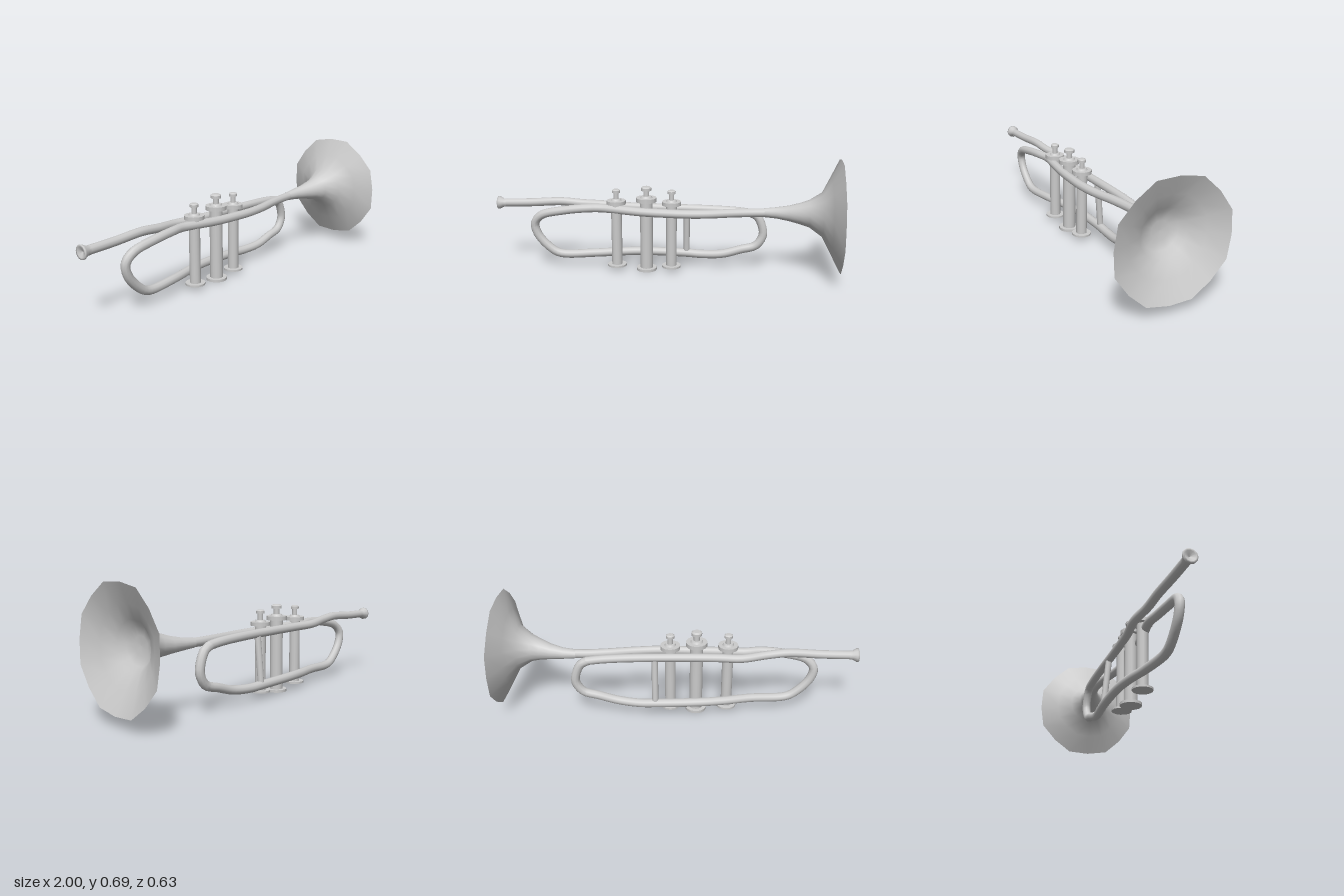
import * as THREE from 'three';

const metal = new THREE.MeshStandardMaterial({ color: 0xcccccc });
const thinMetal = new THREE.MeshStandardMaterial({ color: 0xcccccc, side: THREE.DoubleSide });

function add(parent, name, geometry, material = metal) {
  const mesh = new THREE.Mesh(geometry, material);
  mesh.name = name;
  parent.add(mesh);
  return mesh;
}

function pipe(points, segments, radius) {
  const curve = new THREE.CatmullRomCurve3(points.map(p => new THREE.Vector3(...p)), false, 'centripetal');
  return new THREE.TubeGeometry(curve, segments, radius, 10, false);
}

// One valve: stacked cylinders given as [part, bottom, top, radius, top radius]
function valve(name, x, layers) {
  const group = new THREE.Group();
  group.name = name;
  group.position.set(x, 0, -0.072);
  for (const [part, y0, y1, r0, r1 = r0] of layers) {
    add(group, part, new THREE.CylinderGeometry(r1, r0, y1 - y0, 14)).position.y = (y0 + y1) / 2;
  }
  return group;
}

// Bell surface: rings of 16 points [x, y, z, radius], leaning further towards the rim
function bellGeometry(rings) {
  const sides = 16, positions = [], index = [];
  rings.forEach(([x, y, z, r], i) => {
    const lean = (x - 0.56) / 0.418;
    for (let k = 0; k < sides; k++) {
      const a = THREE.MathUtils.degToRad(3.5 + 22.5 * k);
      const rr = r * (k % 2 ? 1.02 : 0.985);
      const dy = rr * Math.cos(a), dz = -rr * Math.sin(a);
      positions.push(x - lean * (0.03 * dy + 0.07 * dz), y + dy, z + dz);
      if (i > 0) {
        const n = (k + 1) % sides;
        const p = (i - 1) * sides, q = i * sides;
        index.push(p + k, q + k, p + n, p + n, q + k, q + n);
      }
    }
  });
  const geometry = new THREE.BufferGeometry();
  geometry.setAttribute('position', new THREE.Float32BufferAttribute(positions, 3));
  geometry.setIndex(index);
  geometry.computeVertexNormals();
  return geometry;
}

export function createModel() {
  const model = new THREE.Group();
  model.name = 'trumpet';

  // Lead pipe from the mouthpiece to the right-hand bend
  add(model, 'leadPipe', pipe([
    [-0.98, 0.378, -0.12], [-0.8, 0.383, -0.12], [-0.62, 0.393, -0.12], [-0.5, 0.383, -0.125],
    [-0.36, 0.372, -0.145], [-0.22, 0.368, -0.13], [0, 0.366, -0.122], [0.25, 0.363, -0.12],
    [0.42, 0.355, -0.12], [0.5, 0.345, -0.12],
  ], 50, 0.024), thinMetal);

  // Tuning bend, lower pipe, left bend and the pipe leading to the bell
  add(model, 'mainPipe', pipe([
    [0.49, 0.346, -0.12], [0.53, 0.325, -0.12], [0.563, 0.25, -0.12], [0.563, 0.205, -0.12],
    [0.525, 0.148, -0.12], [0.44, 0.122, -0.122], [0.33, 0.09, -0.125], [0.21, 0.08, -0.14],
    [0.12, 0.083, -0.147], [-0.13, 0.088, -0.147], [-0.27, 0.087, -0.13], [-0.42, 0.085, -0.1],
    [-0.63, 0.085, -0.082], [-0.69, 0.12, -0.08], [-0.758, 0.2, -0.078], [-0.773, 0.27, -0.075],
    [-0.73, 0.322, -0.065], [-0.6, 0.355, -0.056], [-0.47, 0.37, -0.058], [-0.38, 0.37, -0.07],
    [-0.27, 0.366, -0.055], [-0.14, 0.36, -0.038], [0, 0.358, -0.026], [0.12, 0.357, -0.022],
    [0.24, 0.357, -0.032], [0.38, 0.36, -0.055], [0.5, 0.362, -0.068], [0.62, 0.365, -0.068],
  ], 130, 0.025), thinMetal);

  // Mouthpiece cup
  const cup = add(model, 'mouthpiece', new THREE.LatheGeometry([
    [0, 0.015], [0.028, 0.0], [0.038, 0.0], [0.038, 0.01], [0.026, 0.03], [0.024, 0.05],
  ].map(p => new THREE.Vector2(...p)), 12), thinMetal);
  cup.position.set(-1, 0.378, -0.12);
  cup.rotation.z = -Math.PI / 2;

  // Flared bell
  add(model, 'bell', bellGeometry([
    [0.56, 0.363, -0.07, 0.025], [0.63, 0.365, -0.066, 0.032], [0.7, 0.368, -0.05, 0.044],
    [0.76, 0.373, -0.032, 0.06], [0.81, 0.377, -0.02, 0.077], [0.88, 0.376, -0.008, 0.125],
    [0.925, 0.374, -0.004, 0.213], [0.978, 0.372, 0, 0.319],
  ]), thinMetal);

  // Inside of the bell, rounding smoothly into a closed throat
  add(model, 'bellInside', bellGeometry([
    [0.978, 0.372, 0, 0.319], [0.929, 0.374, -0.004, 0.213], [0.887, 0.376, -0.008, 0.13],
    [0.857, 0.376, -0.011, 0.098], [0.847, 0.377, -0.013, 0.05], [0.845, 0.377, -0.013, 0],
  ]), thinMetal);

  // Valves: the middle one is longer and wider
  const small = [
    ['bottomCap', 0.021, 0.032, 0.056], ['casing', 0.032, 0.397, 0.031],
    ['topCap', 0.397, 0.418, 0.056], ['collar', 0.418, 0.428, 0.032, 0.026],
    ['stem', 0.428, 0.464, 0.015], ['button', 0.464, 0.478, 0.024], ['buttonTop', 0.478, 0.484, 0.024, 0.016],
  ];
  const large = [
    ['bottomCap', 0, 0.015, 0.06], ['casing', 0.015, 0.415, 0.037],
    ['topCap', 0.415, 0.438, 0.06], ['collar', 0.438, 0.448, 0.036, 0.03],
    ['stem', 0.448, 0.48, 0.017], ['button', 0.48, 0.496, 0.03], ['buttonTop', 0.496, 0.503, 0.03, 0.02],
  ];
  model.add(valve('rearValve', -0.287, small), valve('middleValve', -0.112, large), valve('frontValve', 0.034, small));

  // Brace between the lower pipe and the lead pipe
  add(model, 'brace', pipe([[0.12, 0.09, -0.147], [0.12, 0.23, -0.135], [0.12, 0.365, -0.122]], 4, 0.018));

  return model;
}
